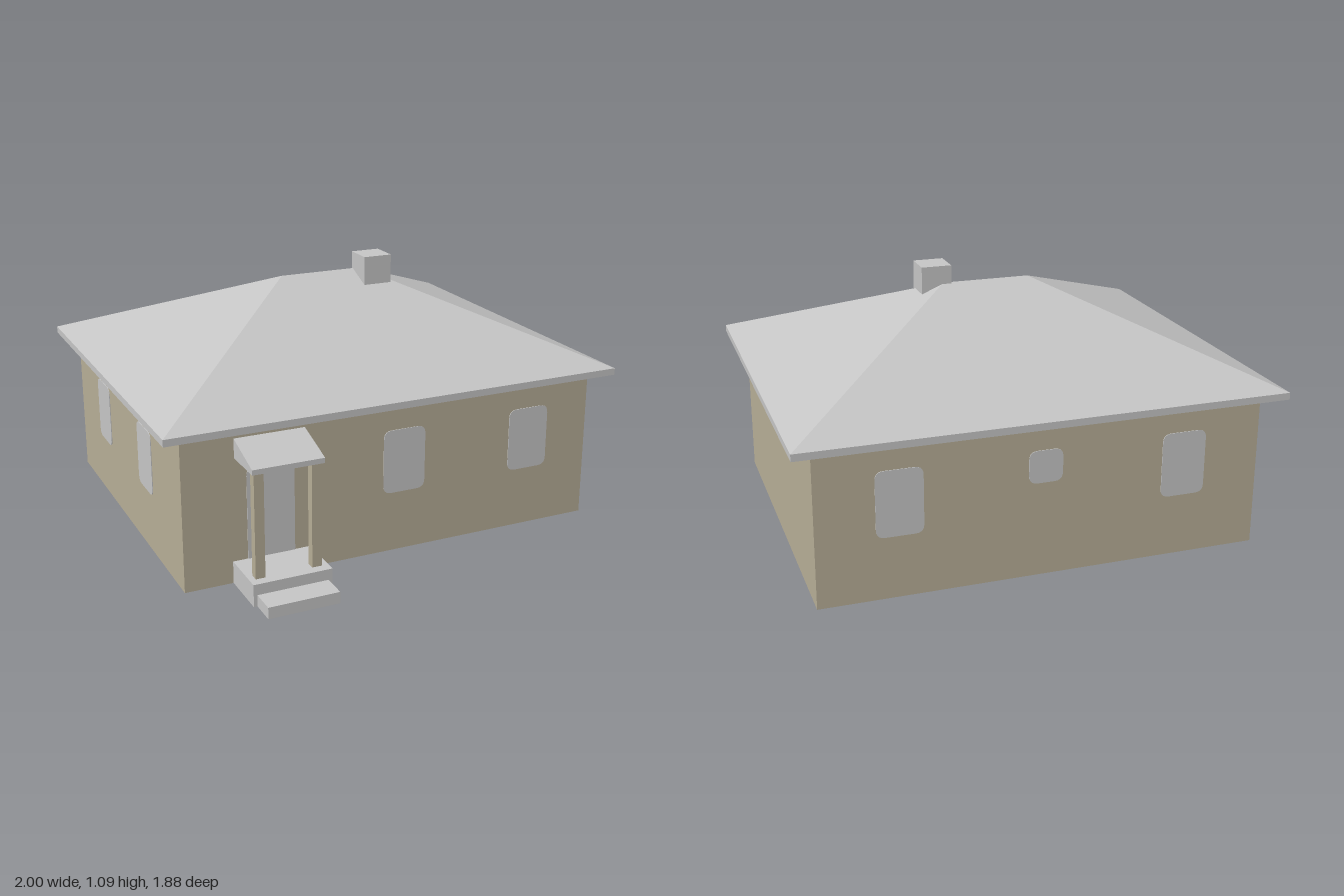
import * as THREE from 'three';

const grey = new THREE.MeshStandardMaterial({ color: 0xc4c4c4, side: THREE.DoubleSide });
grey.name = 'light grey';
const beige = new THREE.MeshStandardMaterial({ color: 0xb5ac95, side: THREE.DoubleSide });
beige.name = 'beige render';

// House extents
const W = 0.916, ZF = 0.613, ZB = -0.863;
const EAVE = 0.645;

// Sheet made of flat convex polygons, each a loop of [x, y, z] corners
function sheet(name, mat, polys) {
  const pos = [];
  for (const p of polys)
    for (let i = 1; i < p.length - 1; i++) pos.push(...p[0], ...p[i], ...p[i + 1]);
  const geo = new THREE.BufferGeometry();
  geo.setAttribute('position', new THREE.Float32BufferAttribute(pos, 3));
  geo.computeVertexNormals();
  const mesh = new THREE.Mesh(geo, mat);
  mesh.name = name;
  return mesh;
}

// Hollow piece with a [z, y] profile running from x0 to x1; the wall side stays open
function shell(name, x0, x1, profile, firstEdge) {
  const polys = [
    profile.map(([z, y]) => [x0, y, z]),
    profile.map(([z, y]) => [x1, y, z]).reverse(),
  ];
  for (let i = firstEdge; i < profile.length - 1; i++) {
    const [az, ay] = profile[i], [bz, by] = profile[i + 1];
    polys.push([[x0, ay, az], [x1, ay, az], [x1, by, bz], [x0, by, bz]]);
  }
  return sheet(name, grey, polys);
}

function box(name, mat, x0, x1, y0, y1, z0, z1) {
  const mesh = new THREE.Mesh(new THREE.BoxGeometry(x1 - x0, y1 - y0, z1 - z0), mat);
  mesh.position.set((x0 + x1) / 2, (y0 + y1) / 2, (z0 + z1) / 2);
  mesh.name = name;
  return mesh;
}

// Thin plate with rounded corners, showing on both sides of the wall
function plate(name, w, y0, y1, rBottom, x, z, turn) {
  const r = 0.035, h = w / 2, s = new THREE.Shape();
  s.moveTo(-h + rBottom, y0).lineTo(h - rBottom, y0);
  s.quadraticCurveTo(h, y0, h, y0 + rBottom).lineTo(h, y1 - r);
  s.quadraticCurveTo(h, y1, h - r, y1).lineTo(-h + r, y1);
  s.quadraticCurveTo(-h, y1, -h, y1 - r).lineTo(-h, y0 + rBottom);
  s.quadraticCurveTo(-h, y0, -h + rBottom, y0);
  const geo = new THREE.ExtrudeGeometry(s, { depth: 0.006, bevelEnabled: false, curveSegments: 5 });
  geo.translate(0, 0, -0.003);
  const mesh = new THREE.Mesh(geo, grey);
  mesh.position.set(x, 0, z);
  mesh.rotation.y = turn;
  mesh.name = name;
  return mesh;
}

export function createModel() {
  const house = new THREE.Group();
  house.name = 'house';

  // Front wall, open behind the porch platform and the porch roof
  const front = new THREE.Shape();
  [[-W, 0], [-0.715, 0], [-0.715, 0.093], [-0.387, 0.093], [-0.387, 0], [W, 0], [W, EAVE], [-W, EAVE]]
    .forEach(([x, y], i) => (i ? front.lineTo(x, y) : front.moveTo(x, y)));
  front.closePath();
  const gap = new THREE.Path();
  gap.moveTo(-0.70, 0.525).lineTo(-0.70, 0.605).lineTo(-0.405, 0.605).lineTo(-0.405, 0.525).closePath();
  front.holes.push(gap);
  const frontWall = new THREE.Mesh(new THREE.ShapeGeometry(front), beige);
  frontWall.position.z = ZF;
  frontWall.name = 'frontWall';
  house.add(frontWall);

  // Back and side walls
  const wall = (name, ax, az, bx, bz) =>
    house.add(sheet(name, beige, [[[ax, 0, az], [bx, 0, bz], [bx, EAVE, bz], [ax, EAVE, az]]]));
  wall('leftWall', W, ZF, W, ZB);
  wall('backWall', W, ZB, -W, ZB);
  wall('rightWall', -W, ZB, -W, ZF);

  // Hipped roof with fascia and soffit, open inside
  const rect = (x, y, zf, zb) => [[-x, y, zf], [x, y, zf], [x, y, zb], [-x, y, zb]];
  const rim = rect(1, 0.674, 0.688, -0.943);
  const low = rect(1, EAVE, 0.688, -0.943);
  const inner = rect(W, EAVE, ZF, ZB);
  const r0 = [-0.187, 1.018, -0.127], r1 = [0.187, 1.018, -0.127];
  house.add(sheet('roof', grey, [
    [rim[0], rim[1], r1, r0], [rim[1], rim[2], r1],
    [rim[2], rim[3], r0, r1], [rim[3], rim[0], r0],
  ]));
  const fascia = [], soffit = [];
  for (let i = 0; i < 4; i++) {
    const j = (i + 1) % 4;
    fascia.push([low[i], low[j], rim[j], rim[i]]);
    soffit.push([inner[i], inner[j], low[j], low[i]]);
  }
  house.add(sheet('fascia', grey, fascia), sheet('soffit', grey, soffit));
  house.add(box('chimney', grey, 0.155, 0.283, 0.967, 1.092, -0.136, -0.008));

  // Porch: platform, step, two posts and a sloping roof
  const porch = new THREE.Group();
  porch.name = 'porch';
  porch.add(
    shell('platform', -0.715, -0.387, [[ZF, 0], [0.83, 0], [0.83, 0.093], [ZF, 0.093]], 1),
    shell('step', -0.70, -0.405, [[0.83, 0], [0.938, 0], [0.938, 0.048], [0.83, 0.048]], 1),
    shell('porchRoof', -0.70, -0.405, [[ZF, 0.525], [0.802, 0.525], [0.802, 0.546], [ZF, 0.605]], 0),
  );
  for (const x of [-0.69, -0.455])
    porch.add(box('post', beige, x, x + 0.04, 0.093, 0.525, 0.754, 0.79));
  house.add(porch);

  // Door and windows
  house.add(plate('door', 0.2, 0.093, 0.478, 0, -0.552, ZF, 0));
  const win = (x, z, turn) => house.add(plate('window', 0.188, 0.258, 0.53, 0.035, x, z, turn));
  for (const x of [0.034, 0.624]) win(x, ZF, 0);
  for (const x of [0.588, -0.585]) win(x, ZB, Math.PI);
  for (const z of [0.152, -0.455]) win(-W, z, -Math.PI / 2);
  house.add(plate('smallWindow', 0.14, 0.395, 0.53, 0.035, 0.004, ZB, Math.PI));

  return house;
}
